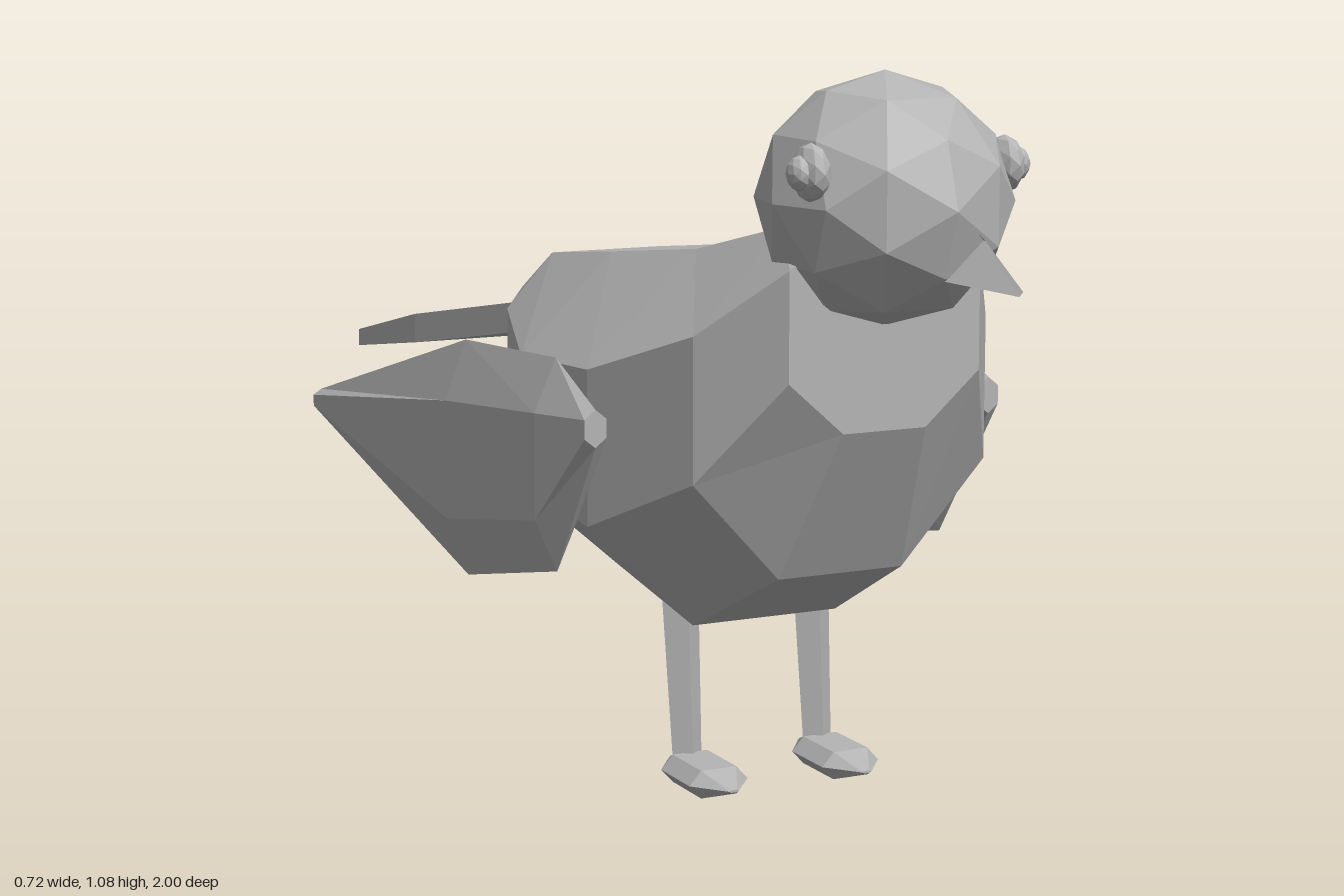
import * as THREE from 'three';

const plumage = new THREE.MeshStandardMaterial({ color: 0xb4b4b4, flatShading: true });
plumage.name = 'plain grey';

// Skin a list of rings running from front (+z) to back, each counter-clockwise seen from the front
function loft(rings) {
  const pos = [], n = rings[0].length, last = rings[rings.length - 1];
  const tri = (a, b, c) => pos.push(...a, ...b, ...c);
  for (let i = 0; i < rings.length - 1; i++) {
    for (let j = 0; j < n; j++) {
      const k = (j + 1) % n, a = rings[i][j], b = rings[i][k], c = rings[i + 1][k], d = rings[i + 1][j];
      tri(a, d, b);
      tri(b, d, c);
    }
  }
  for (let j = 1; j < n - 1; j++) {
    tri(rings[0][0], rings[0][j], rings[0][j + 1]);
    tri(last[0], last[j + 1], last[j]);
  }
  const g = new THREE.BufferGeometry();
  g.setAttribute('position', new THREE.Float32BufferAttribute(pos, 3));
  g.computeVertexNormals();
  return g;
}

// Ring shapes
const octagon = ([z, yb, yl, yu, yt, wb, ws, wt]) => [
  [wb, yb, z], [ws, yl, z], [ws, yu, z], [wt, yt, z],
  [-wt, yt, z], [-ws, yu, z], [-ws, yl, z], [-wb, yb, z]];

const uprightHex = ([z, yb, yt, w]) => {
  const lo = yb + (yt - yb) * 0.25, hi = yb + (yt - yb) * 0.75;
  return [[0, yb, z], [w, lo, z], [w, hi, z], [0, yt, z], [-w, hi, z], [-w, lo, z]];
};

const flatHex = ([z, yc, h, w]) => [
  [w, yc, z], [w * 0.6, yc + h, z], [-w * 0.6, yc + h, z],
  [-w, yc, z], [-w * 0.6, yc - h, z], [w * 0.6, yc - h, z]];

const slab = ([z, yb, yt, w]) => [[w, yb, z], [w, yt, z], [-w, yt, z], [-w, yb, z]];

const diamond = ([z, yc, h, w]) => [[0, yc - h, z], [w, yc, z], [0, yc + h, z], [-w, yc, z]];

export function createModel() {
  const bird = new THREE.Group();
  bird.name = 'bird';
  const add = (name, geometry, x = 0, y = 0, z = 0) => {
    const mesh = new THREE.Mesh(geometry, plumage);
    mesh.name = name;
    mesh.position.set(x, y, z);
    bird.add(mesh);
    return mesh;
  };

  // Body: z, bottom, lower side, upper side, top, then bottom, side and top half widths
  add('body', loft([
    [0.665, 0.585, 0.66, 0.815, 0.87, 0.065, 0.15, 0.06],
    [0.545, 0.36, 0.507, 0.715, 0.86, 0.1, 0.235, 0.095],
    [0.315, 0.245, 0.41, 0.64, 0.805, 0.12, 0.29, 0.115],
    [0.03, 0.28, 0.42, 0.62, 0.77, 0.11, 0.27, 0.118],
    [-0.245, 0.44, 0.53, 0.65, 0.737, 0.075, 0.175, 0.095],
    [-0.44, 0.59, 0.61, 0.655, 0.675, 0.03, 0.065, 0.045],
  ].map(octagon)));

  // Tail
  add('tail', loft([
    [-0.345, 0.595, 0.645, 0.115],
    [-0.68, 0.535, 0.585, 0.165],
    [-1, 0.485, 0.515, 0.15],
  ].map(slab)));

  // Head and beak
  add('head', new THREE.IcosahedronGeometry(1, 1), 0, 0.905, 0.655).scale.set(0.172, 0.175, 0.195);
  add('beak', loft([[0.78, 0.865, 0.055, 0.06], [0.83, 0.862, 0.052, 0.055], [1, 0.818, 0.006, 0.006]].map(diamond)));

  // Paired parts
  const wing = loft([
    [0.415, 0.545, 0.6, 0.017],
    [0.28, 0.34, 0.655, 0.035],
    [-0.06, 0.265, 0.635, 0.035],
    [-0.725, 0.42, 0.458, 0.014],
  ].map(uprightHex));
  const foot = loft([
    [0.1, 0, 0.002, 0.008],
    [0.05, 0, 0.021, 0.048],
    [-0.045, 0, 0.021, 0.048],
    [-0.1, 0, 0.002, 0.008],
  ].map(flatHex));
  const leg = new THREE.CylinderGeometry(0.031, 0.024, 0.27, 4);
  const ball = new THREE.IcosahedronGeometry(1, 1);

  for (const [side, s] of [['left', 1], ['right', -1]]) {
    add(side + 'Wing', wing, s * 0.323, 0, 0);
    const shin = add(side + 'Leg', leg, s * 0.111, 0.165, 0.266);
    shin.rotation.x = -0.095;
    shin.scale.z = 0.85;
    add(side + 'Foot', foot, s * 0.111, 0.022, 0.333);
    add(side + 'Eye', ball, s * 0.15, 0.952, 0.722).scale.set(0.022, 0.04, 0.04);
    add(side + 'Pupil', ball, s * 0.168, 0.952, 0.724).scale.set(0.017, 0.024, 0.024);
  }
  return bird;
}
